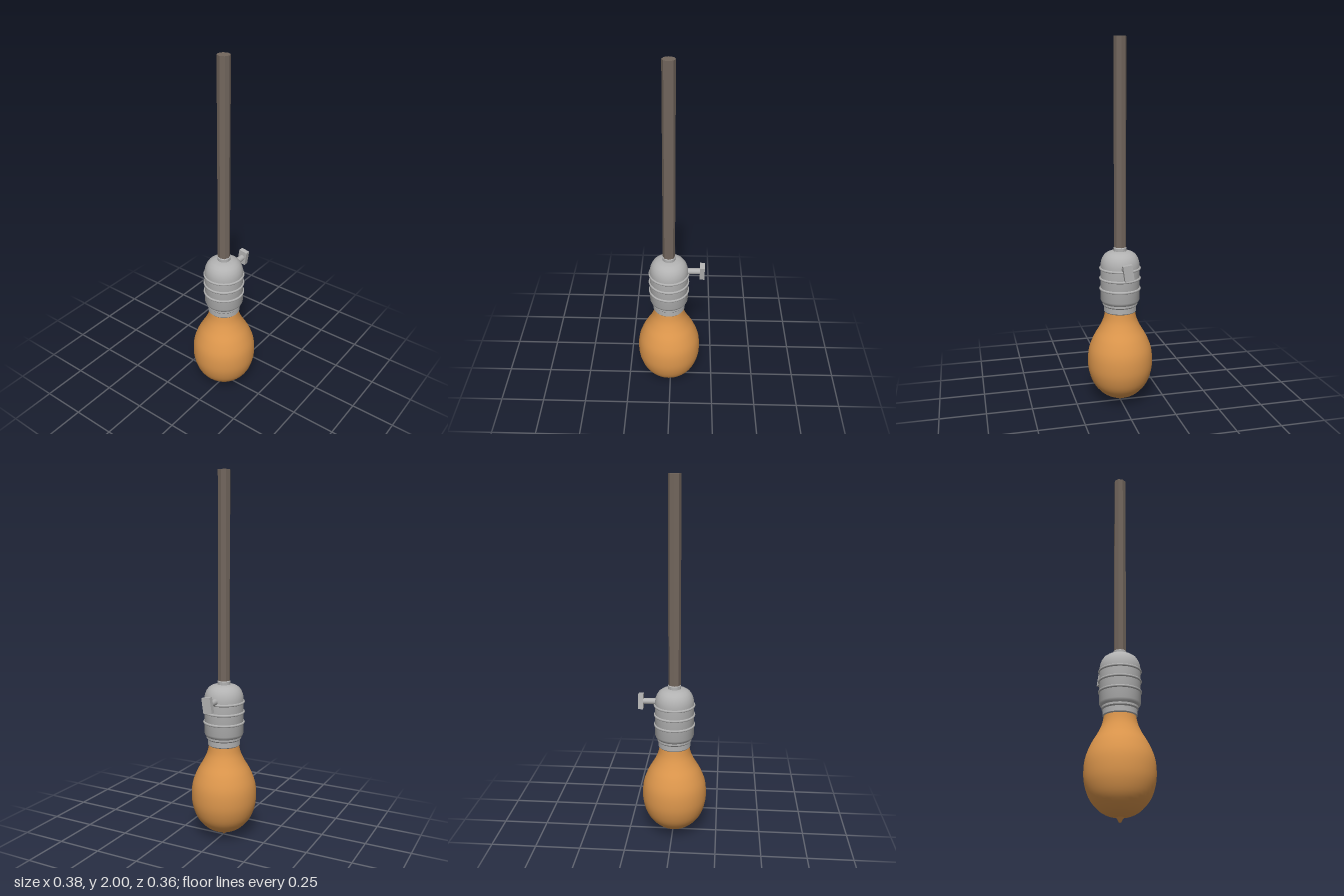
import * as THREE from 'three';
import { toCreasedNormals } from 'three/addons/utils/BufferGeometryUtils.js';

const AXIS_X = -0.009; // the side switch pushes the lamp axis off centre

export function createModel() {
  const model = new THREE.Group();
  model.name = 'hangingBulb';
  const lamp = new THREE.Group();
  lamp.name = 'lamp';
  lamp.position.x = AXIS_X;
  model.add(lamp);

  const amber = new THREE.MeshStandardMaterial({ color: 0xdc964c });
  amber.name = 'amber glass';
  const metal = new THREE.MeshStandardMaterial({ color: 0xb2b2b2 });
  metal.name = 'grey metal';
  const brown = new THREE.MeshStandardMaterial({ color: 0x72665d });
  brown.name = 'brown cord';

  const add = (name, geometry, material, x = 0, y = 0, z = 0) => {
    const mesh = new THREE.Mesh(geometry, material);
    mesh.name = name;
    mesh.position.set(x, y, z);
    lamp.add(mesh);
    return mesh;
  };
  // Profiles run from bottom to top as [radius, height]
  const lathe = (profile, crease = 0.6) => toCreasedNormals(
    new THREE.LatheGeometry(profile.map(([r, y]) => new THREE.Vector2(r, y)), 40), crease);

  // Glass bulb, a smooth pear shape
  const outline = new THREE.SplineCurve([
    [0, 0.023], [0.05, 0.03], [0.1, 0.055], [0.148, 0.108], [0.174, 0.175], [0.181, 0.24],
    [0.174, 0.31], [0.148, 0.378], [0.115, 0.435], [0.093, 0.483], [0.083, 0.53], [0.08, 0.56],
  ].map(([r, y]) => new THREE.Vector2(r, y)));
  const bulbProfile = outline.getPoints(44).map((p) => [Math.max(p.x, 0), p.y]);
  add('bulb', lathe(bulbProfile, 1), amber);

  // Sealed glass tip under the bulb
  add('bulbTip', lathe([[0, 0], [0.006, 0.002], [0.01, 0.01], [0.016, 0.02], [0.03, 0.03]], 1), amber);

  // Socket: lower ring, shoulder and straight shell
  add('socketShell', lathe([
    [0, 0.527], [0.086, 0.527], [0.09, 0.532], [0.09, 0.56], [0.096, 0.567], [0.096, 0.578],
    [0.103, 0.585], [0.108, 0.597], [0.108, 0.765], [0, 0.765],
  ]), metal);

  // Rolled beads around the shell and the cap seam
  for (const y of [0.658, 0.716, 0.772]) {
    const bead = new THREE.TorusGeometry(0.108, 0.007, 8, 40);
    bead.rotateX(Math.PI / 2);
    add('socketBead', bead, metal, 0, y);
  }

  // Domed cap and cord collar
  add('socketCap', lathe([
    [0, 0.772], [0.108, 0.772], [0.108, 0.79], [0.105, 0.81], [0.098, 0.83], [0.086, 0.848],
    [0.07, 0.86], [0.05, 0.867], [0.036, 0.869], [0.036, 0.886], [0.033, 0.89], [0, 0.89],
  ]), metal);

  // Octagonal cord
  const cord = new THREE.CylinderGeometry(0.034, 0.034, 1.12, 8);
  add('cord', toCreasedNormals(cord, 0.3), brown, 0, 1.44);

  // Turn switch: stem with a slightly tilted flat key
  const stem = new THREE.CylinderGeometry(0.017, 0.017, 0.09, 16);
  stem.rotateZ(Math.PI / 2);
  add('switchStem', stem, metal, 0.133, 0.79);
  const key = add('switchKey', new THREE.BoxGeometry(0.027, 0.084, 0.05), metal, 0.1855, 0.79);
  key.rotation.x = 0.15;

  return model;
}
